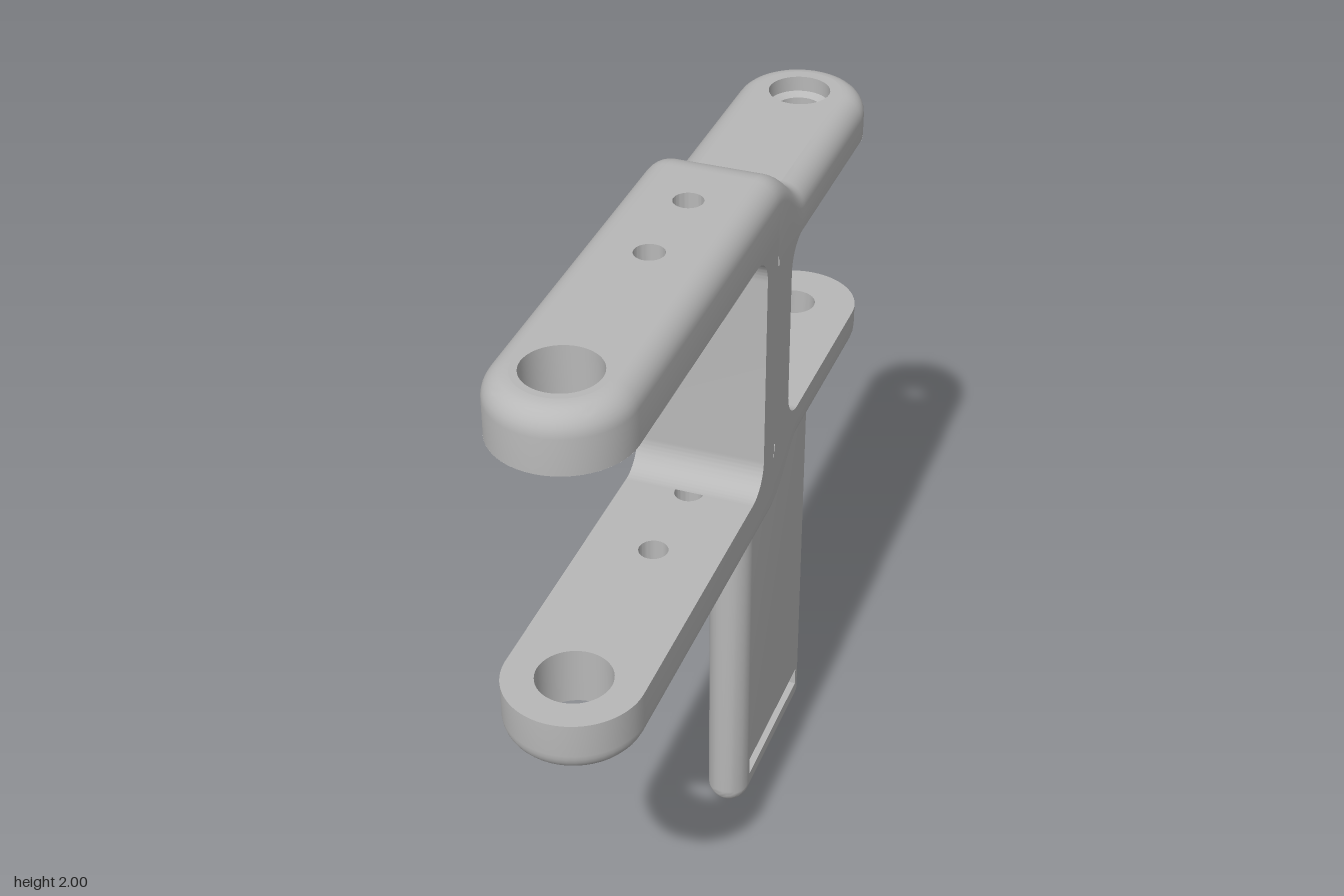
import * as THREE from 'three';
import { mergeGeometries, toCreasedNormals } from 'three/addons/utils/BufferGeometryUtils.js';

const grey = new THREE.MeshStandardMaterial({ color: 0xb8b8b8, side: THREE.DoubleSide });
grey.name = 'plain grey';

const W = 0.17, F = 0.06, END = 0.8; // arm half width, edge fillet, end centre
const TOP = 2, THIN_TOP = 1.89, UNDER = 1.85, THIN_UNDER = 1.77, MID = 1.51;
const STEP0 = 0.1, STEP1 = 0.32, JOG = 0.12;

// Height of the arm's outer surface: a smooth step from thick to thin
function topAt(u) {
  const s = THREE.MathUtils.clamp((u - STEP0) / (STEP1 - STEP0), 0, 1) ** 1.2;
  return TOP - (TOP - THIN_TOP) * s * s * (3 - 2 * s);
}

// Quad surface over a rows x columns grid of points
function grid(rows, flip = false) {
  const n = rows[0].length, index = [];
  for (let i = 0; i < rows.length - 1; i++)
    for (let j = 0; j < n - 1; j++) {
      const a = i * n + j, b = a + 1, c = a + n, d = c + 1;
      index.push(...(flip ? [a, b, c, b, d, c] : [a, c, b, b, c, d]));
    }
  const g = new THREE.BufferGeometry();
  g.setAttribute('position', new THREE.Float32BufferAttribute(rows.flat(2), 3));
  g.setIndex(index);
  return g;
}

function mesh(name, parts) {
  const flat = parts.map((p) => {
    const g = p.index ? p.toNonIndexed() : p;
    g.deleteAttribute('uv');
    g.deleteAttribute('normal');
    return g;
  });
  const m = new THREE.Mesh(toCreasedNormals(mergeGeometries(flat), 0.6), grey);
  m.name = name;
  return m;
}

// Flat half-stadium with round holes; side -1 is the thick end, 1 the thin end
function endFace(side, cut, r, y, holes, down) {
  const s = new THREE.Shape();
  s.moveTo(cut, r * side);
  s.lineTo(cut, -r * side);
  s.lineTo(END * side, -r * side);
  s.absarc(END * side, 0, r, -side * Math.PI / 2, side * Math.PI / 2, false);
  for (const [u, hr] of holes) s.holes.push(new THREE.Path().absarc(u, 0, hr, 0, Math.PI * 2, true));
  return new THREE.ShapeGeometry(s, 24).rotateX(down ? Math.PI / 2 : -Math.PI / 2).translate(0, y, 0);
}

function bore(u, points) {
  return new THREE.LatheGeometry(points.map(([r, y]) => new THREE.Vector2(r, y)), 48).translate(u, 0, 0);
}

function arm(name) {
  const core = W - F, steps = 16;
  const stepU = Array.from({ length: steps + 1 }, (_, i) => STEP0 + (STEP1 - STEP0) * i / steps);

  // Outline as core point plus outward normal
  const path = [];
  const round = (cx, a0) => {
    for (let i = 0; i <= 24; i++) {
      const a = a0 + Math.PI * i / 24;
      path.push([cx + core * Math.cos(a), core * Math.sin(a), Math.cos(a), Math.sin(a)]);
    }
  };
  round(END, -Math.PI / 2);
  for (const u of [...stepU].reverse()) path.push([u, core, 0, 1]);
  round(-END, Math.PI / 2);
  for (const u of stepU) path.push([u, -core, 0, -1]);
  path.push(path[0]);

  // Side wall with the rounded outer edge
  const rim = path.map(([u, v, nu, nv]) => {
    const row = [[u + nu * F, u > JOG ? THIN_UNDER : UNDER, v + nv * F]];
    for (let k = 0; k <= 8; k++) {
      const a = Math.PI / 2 * k / 8, o = F * Math.cos(a), uu = u + nu * o;
      row.push([uu, topAt(uu) - F + F * Math.sin(a), v + nv * o]);
    }
    return row;
  });
  const strip = stepU.map((u) => [[u, topAt(u), -core], [u, topAt(u), core]]);

  const pins = [[-0.294, 0.037], [-0.042, 0.037]];
  const thickHoles = [[-END, 0.092], ...pins];
  return mesh(name, [
    grid(rim),
    grid(strip, true),
    endFace(-1, STEP0, core, TOP, thickHoles, false),
    endFace(1, STEP1, core, THIN_TOP, [[END, 0.08]], false),
    endFace(-1, JOG, W, UNDER, thickHoles, true),
    endFace(1, JOG, W, THIN_UNDER, [[END, 0.06]], true),
    ...thickHoles.map(([u, r]) => bore(u, [[r, TOP], [r, UNDER]])),
    // Counterbored hole in the thin end
    bore(END, [[0.08, THIN_TOP], [0.08, 1.85], [0.06, 1.84], [0.06, THIN_UNDER]]),
  ]);
}

// Upright with filleted corners, extruded across the arm from v0 to v1
function upright(name, u0, u1, v0, v1, filletLeft) {
  const r = 0.08, lo = 2 * MID - UNDER, hi = UNDER, lo2 = 2 * MID - THIN_UNDER, hi2 = THIN_UNDER;
  const s = new THREE.Shape();
  if (filletLeft) {
    s.moveTo(u0 - r, lo);
    s.lineTo(u0 + r, lo);
    s.lineTo(u0 + r, lo2);
  } else s.moveTo(u0, lo2);
  s.lineTo(u1 + r, lo2);
  s.absarc(u1 + r, lo2 + r, r, -Math.PI / 2, -Math.PI, true);
  s.lineTo(u1, hi2 - r);
  s.absarc(u1 + r, hi2 - r, r, Math.PI, Math.PI / 2, true);
  if (filletLeft) {
    s.lineTo(u0 + r, hi2);
    s.lineTo(u0 + r, hi);
    s.lineTo(u0 - r, hi);
    s.absarc(u0 - r, hi - r, r, Math.PI / 2, 0, true);
    s.lineTo(u0, lo + r);
    s.absarc(u0 - r, lo + r, r, 0, -Math.PI / 2, true);
  } else s.lineTo(u0, hi2);
  const g = new THREE.ExtrudeGeometry(s, { depth: v1 - v0, bevelEnabled: false, curveSegments: 12 });
  return mesh(name, [g.translate(0, 0, v0)]);
}

// Hanging plate with round edges, a square top and a slot near the bottom
function plate() {
  const r = 0.0575, hw = 0.22, top = 1.06, sw = 0.21, s0 = 0.085, s1 = 0.14;
  const path = [[-hw, top, -1, 0]];
  for (const [cx, a0] of [[-hw, Math.PI], [hw, Math.PI * 1.5]])
    for (let i = 0; i <= 10; i++) {
      const a = a0 + Math.PI / 2 * i / 10;
      path.push([cx, r, Math.cos(a), Math.sin(a)]);
    }
  path.push([hw, top, 1, 0]);
  const angles = Array.from({ length: 17 }, (_, k) => -Math.PI / 2 + Math.PI * k / 16);
  const rim = path.map(([u, y, nu, ny]) => angles.map((a) =>
    [u + nu * r * Math.cos(a), y + ny * r * Math.cos(a), r * Math.sin(a)]));

  const face = new THREE.Shape([[-hw, r], [hw, r], [hw, top], [-hw, top]].map((p) => new THREE.Vector2(...p)));
  const slot = [[-sw, s0], [-sw, s1], [sw, s1], [sw, s0]];
  face.holes.push(new THREE.Path(slot.map((p) => new THREE.Vector2(...p))));
  const front = new THREE.ShapeGeometry(face);
  const cap = new THREE.Shape();
  cap.absarc(hw, 0, r, -Math.PI / 2, Math.PI / 2, false);
  cap.absarc(-hw, 0, r, Math.PI / 2, Math.PI * 1.5, false);
  return mesh('hangingPlate', [
    grid(rim),
    front.clone().translate(0, 0, r),
    front.clone().rotateY(Math.PI).translate(0, 0, -r),
    new THREE.ShapeGeometry(cap, 16).rotateX(-Math.PI / 2).translate(0, top, 0),
    grid([...slot, slot[0]].map(([u, y]) => [[u, y, -r], [u, y, r]])),
  ]);
}

export function createModel() {
  const model = new THREE.Group();
  model.name = 'clevisBracket';
  const body = new THREE.Group();
  body.name = 'bracketBody';
  body.rotation.y = Math.atan2(0.742, 0.67); // lies diagonally across the frame
  model.add(body);

  const lower = arm('lowerArm');
  lower.scale.y = -1;
  lower.position.y = 2 * MID;
  const tag = plate();
  tag.position.set(0.351, 0, 0.057);
  body.add(
    arm('upperArm'),
    lower,
    upright('centreWeb', 0.04, 0.23, -W, W, true),
    upright('sideWall', 0.2, 0.53, -W, -0.118, false),
    tag,
  );
  return model;
}
